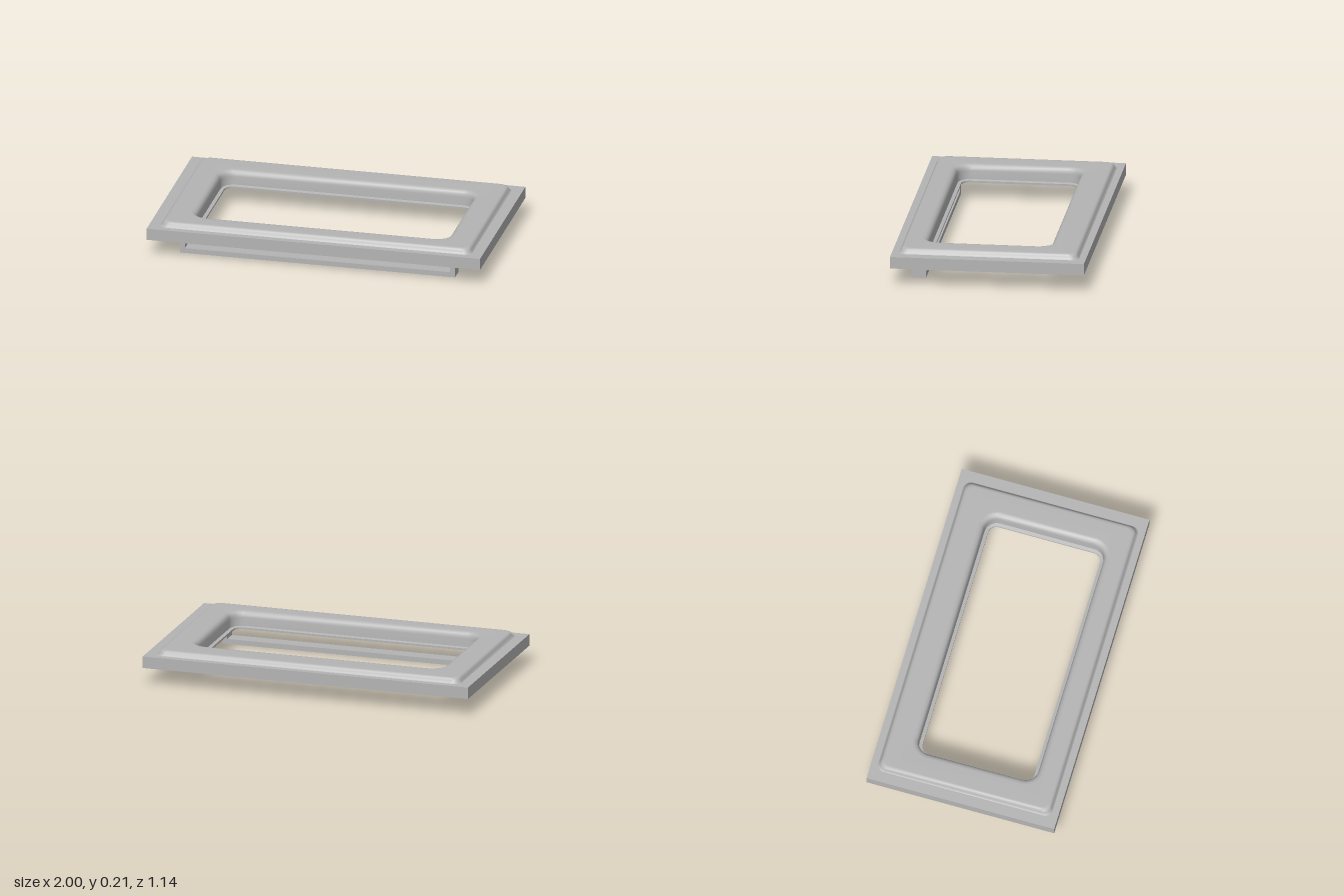
import * as THREE from 'three';

const PLATE_TOP = 0.175, PLATE_BOTTOM = 0.105, TOP = 0.207;
const HOLE_Z = 0.02; // the opening sits slightly toward the front

// rounded rectangle as [x, z] points, same count for every size
function roundedRect(hx, hz, cz, r, steps = 6) {
  const points = [];
  const corners = [[1, 1], [-1, 1], [-1, -1], [1, -1]];
  corners.forEach(([sx, sz], q) => {
    for (let i = 0; i <= steps; i++) {
      const a = (q + i / steps) * Math.PI / 2;
      points.push([sx * (hx - r) + r * Math.cos(a), cz + sz * (hz - r) + r * Math.sin(a)]);
    }
  });
  return points;
}

// skin between consecutive rings; null starts a new smoothing group
function loft(rings) {
  const positions = [], index = [];
  let previous = null, last = null;
  const addRing = ({ outline, y }) => {
    const start = positions.length / 3;
    outline.forEach(([x, z]) => positions.push(x, y, z));
    return start;
  };
  for (const ring of rings) {
    if (ring === null) {
      previous = addRing(last);
      continue;
    }
    const start = addRing(ring), n = ring.outline.length;
    if (previous !== null) {
      for (let j = 0; j < n; j++) {
        const k = (j + 1) % n;
        const a = previous + j, b = previous + k, c = start + j, d = start + k;
        index.push(a, c, b, b, c, d);
      }
    }
    previous = start;
    last = ring;
  }
  const geometry = new THREE.BufferGeometry();
  geometry.setAttribute('position', new THREE.Float32BufferAttribute(positions, 3));
  geometry.setIndex(index);
  geometry.computeVertexNormals();
  return geometry;
}

const toPath = (Type, points) => new Type(points.map(([x, z]) => new THREE.Vector2(x, z)));

export function createModel() {
  const group = new THREE.Group();
  const grey = new THREE.MeshStandardMaterial({ color: 0xb4b4b4 });
  grey.name = 'grey';
  const add = (name, geometry, parent = group) => {
    const mesh = new THREE.Mesh(geometry, grey);
    mesh.name = name;
    parent.add(mesh);
    return mesh;
  };

  // rings of the raised surround and of the opening
  const outer = (inset, y) => ({ outline: roundedRect(0.935 - inset, 0.53 - inset, 0, 0.045), y });
  const inner = (grow, y, r = 0.075 + grow) =>
    ({ outline: roundedRect(0.755 + grow, 0.36 + grow, HOLE_Z, r), y });

  // flat base plate, cut out to meet the lip of the opening
  const plateShape = toPath(THREE.Shape, [[-1, -0.57], [1, -0.57], [1, 0.57], [-1, 0.57]]);
  const lipBase = inner(0.015, PLATE_BOTTOM);
  plateShape.holes.push(toPath(THREE.Path, lipBase.outline));
  const plate = new THREE.ExtrudeGeometry(plateShape, { depth: PLATE_TOP - PLATE_BOTTOM, bevelEnabled: false });
  plate.rotateX(Math.PI / 2).translate(0, PLATE_TOP, 0);
  add('basePlate', plate);

  // raised surround: flared outer edge, flat top, rolled rim, wall and thin lip
  const lipTop = inner(-0.02, 0.116, 0.05);
  add('raisedSurround', loft([
    outer(0, PLATE_TOP),
    outer(0.006, 0.18),
    outer(0.011, 0.192),
    outer(0.016, 0.201),
    outer(0.024, 0.206),
    outer(0.035, TOP),
    inner(0.04, TOP),
    inner(0.025, 0.2045),
    inner(0.013, 0.197),
    inner(0.006, 0.186),
    inner(0.003, 0.17),
    inner(0, 0.12),
    null,
    lipTop,
    null,
    inner(-0.02, PLATE_BOTTOM, 0.05),
    null,
    lipBase,
  ]));

  // U-shaped handle under the front edge
  const handle = new THREE.Group();
  handle.name = 'handle';
  group.add(handle);
  const depth = 0.085, z = 0.4225, thick = 0.03, halfWidth = 0.825;
  add('handleBar', new THREE.BoxGeometry(2 * halfWidth, thick, depth), handle)
    .position.set(0, thick / 2, z);
  for (const side of [-1, 1]) {
    const height = PLATE_BOTTOM - thick;
    add(side > 0 ? 'leftHandleLeg' : 'rightHandleLeg', new THREE.BoxGeometry(thick, height, depth), handle)
      .position.set(side * (halfWidth - thick / 2), thick + height / 2, z);
  }
  return group;
}
